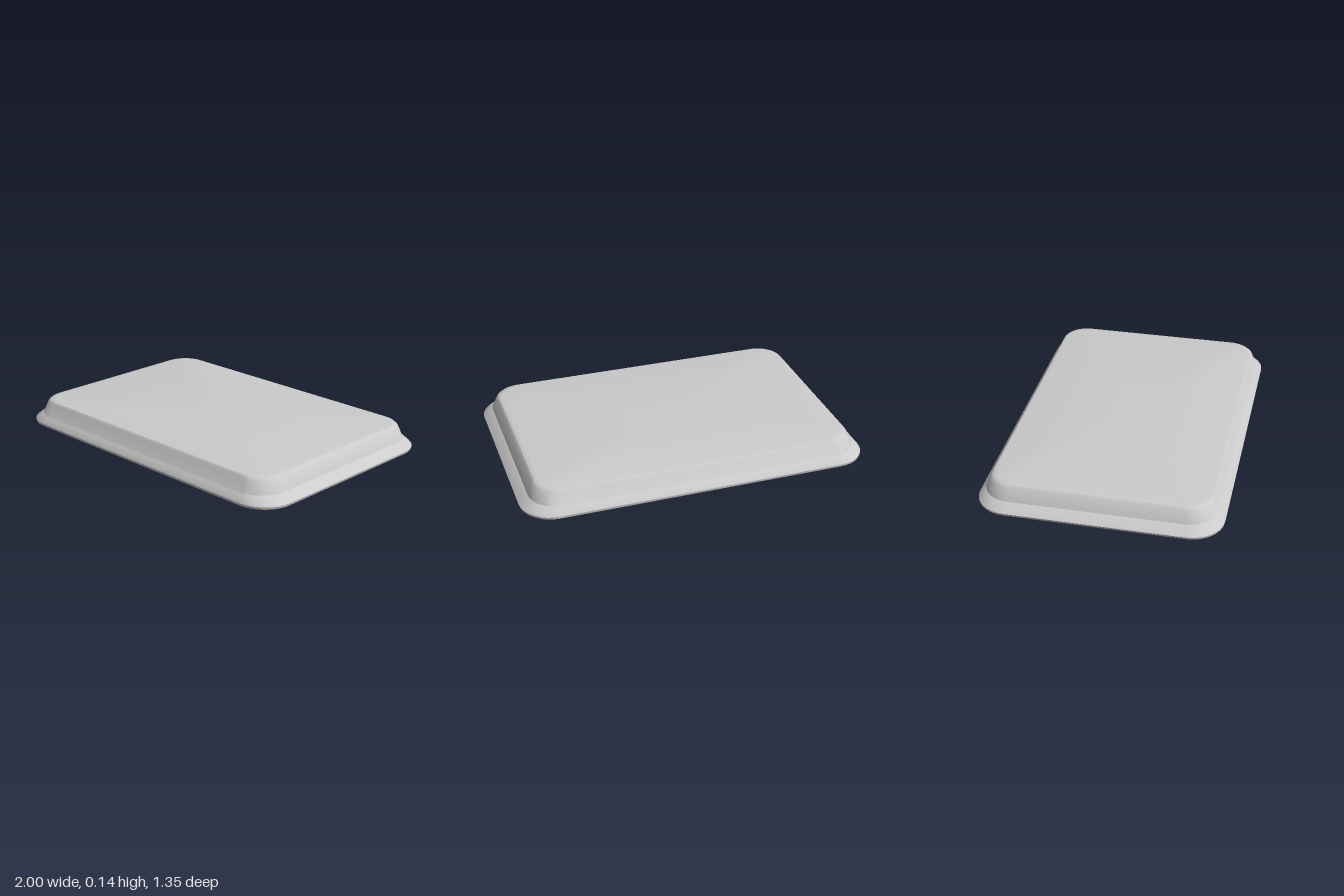
import * as THREE from 'three';
import { toCreasedNormals } from 'three/addons/utils/BufferGeometryUtils.js';

const CORNER_STEPS = 8;

// Rounded rectangle loop at height y, with half sizes hx, hz and corner radius r
function ring([hx, hz, r, y]) {
  const points = [];
  for (let q = 0; q < 4; q++) {
    const sx = q === 0 || q === 3 ? 1 : -1;
    const sz = q < 2 ? 1 : -1;
    for (let i = 0; i <= CORNER_STEPS; i++) {
      const a = (q + i / CORNER_STEPS) * Math.PI / 2;
      points.push([sx * (hx - r) + r * Math.cos(a), y, sz * (hz - r) + r * Math.sin(a)]);
    }
  }
  return points;
}

// Skin successive loops and close both ends with a fan to the centre
function loft(sections) {
  const rings = sections.map(ring);
  const n = rings[0].length;
  const last = rings.length - 1;
  const top = [0, sections[0][3], 0];
  const ceiling = [0, sections[last][3], 0];
  const pos = [];
  const tri = (...corners) => corners.forEach((p) => pos.push(...p));
  for (let j = 0; j < n; j++) {
    const k = (j + 1) % n;
    tri(top, rings[0][k], rings[0][j]);
    for (let i = 0; i < last; i++) {
      const a = rings[i][j], b = rings[i][k], c = rings[i + 1][j], d = rings[i + 1][k];
      tri(a, b, c);
      tri(b, d, c);
    }
    tri(rings[last][j], rings[last][k], ceiling);
  }
  const geometry = new THREE.BufferGeometry();
  geometry.setAttribute('position', new THREE.Float32BufferAttribute(pos, 3));
  return toCreasedNormals(geometry, THREE.MathUtils.degToRad(35));
}

export function createModel() {
  const group = new THREE.Group();
  group.name = 'upturnedTray';
  const material = new THREE.MeshStandardMaterial({ color: 0xcccccc, side: THREE.DoubleSide });

  // Half width, half depth, corner radius, height: over the top, around the rim, up the inside
  const sections = [
    [0.88, 0.575, 0.12, 0.145],
    [0.905, 0.6, 0.135, 0.141],
    [0.918, 0.612, 0.14, 0.128],
    [0.945, 0.637, 0.155, 0.06],
    [0.955, 0.645, 0.16, 0.054],
    [0.99, 0.667, 0.18, 0.028],
    [1.0, 0.673, 0.185, 0.018],
    [0.995, 0.67, 0.18, 0.004],
    [0.985, 0.66, 0.175, 0],
    [0.968, 0.645, 0.165, 0.004],
    [0.955, 0.635, 0.16, 0.025],
    [0.93, 0.622, 0.15, 0.05],
    [0.905, 0.6, 0.135, 0.118],
    [0.885, 0.58, 0.12, 0.132],
  ];
  const tray = new THREE.Mesh(loft(sections), material);
  tray.name = 'trayShell';
  group.add(tray);
  return group;
}
